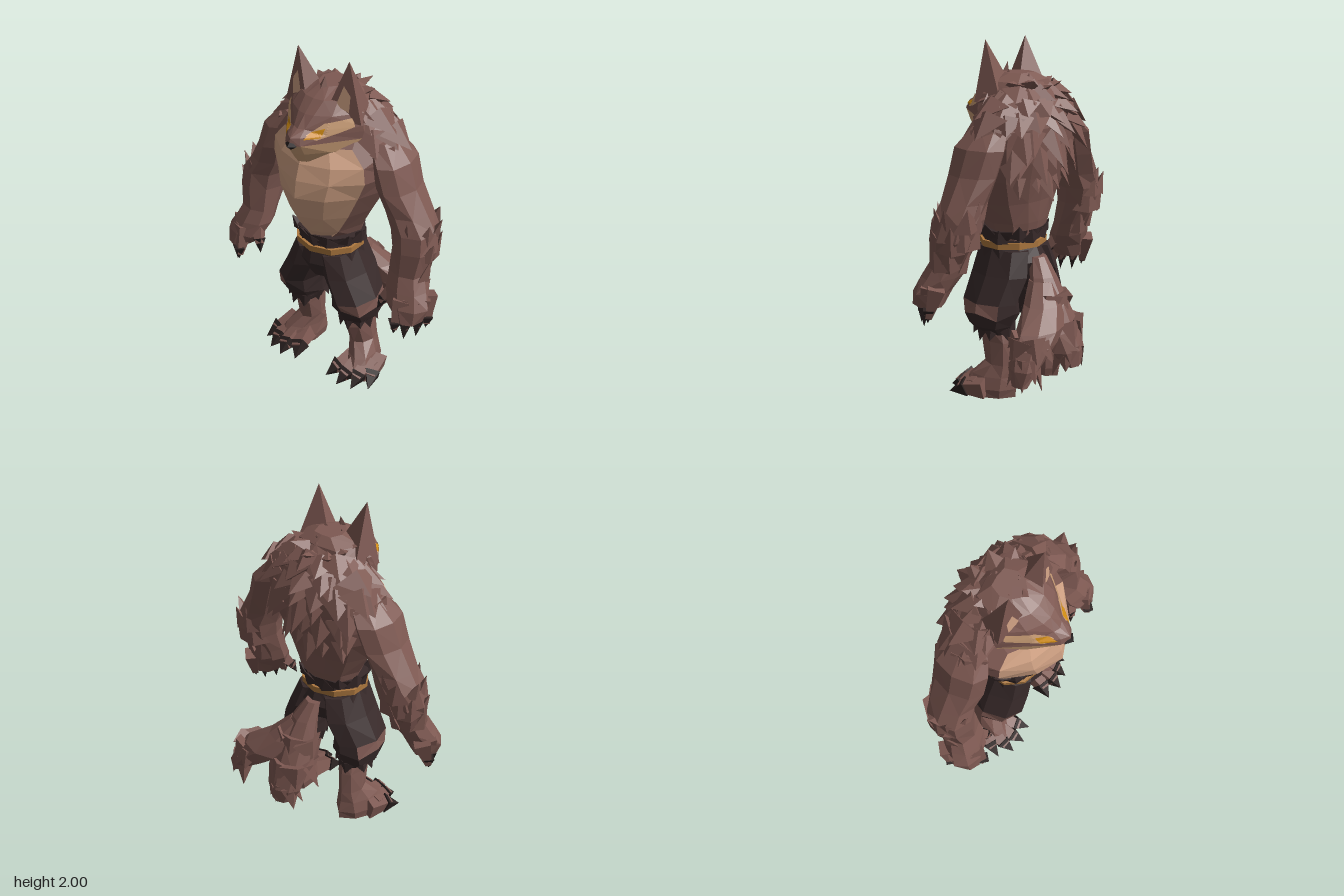
import * as THREE from 'three';
import { mergeGeometries } from 'three/addons/utils/BufferGeometryUtils.js';

const V = (x, y, z) => new THREE.Vector3(x, y, z);
let seed = 7;
const rnd = () => (seed = (seed * 16807) % 2147483647) / 2147483647;
const jit = (s) => (rnd() - 0.5) * 2 * s;

function fromTris(pos) {
  const g = new THREE.BufferGeometry();
  g.setAttribute('position', new THREE.Float32BufferAttribute(pos, 3));
  return g;
}

// Skin stacked rings (lowest first); keep(column, row) chooses the faces
function loft(rings, keep = () => true) {
  const pos = [], n = rings[0].length, last = rings.length - 1;
  const tri = (...ps) => ps.forEach((p) => pos.push(p.x, p.y, p.z));
  const mid = (r) => r.reduce((s, p) => s.add(p), V(0, 0, 0)).divideScalar(n);
  for (let i = 0; i < n; i++) {
    const k = (i + 1) % n;
    for (let j = 0; j < last; j++) {
      if (!keep(i, j)) continue;
      const [a, b, c, d] = [rings[j][i], rings[j][k], rings[j + 1][k], rings[j + 1][i]];
      if ((i + j) % 2) { tri(a, b, c); tri(a, c, d); } else { tri(a, b, d); tri(b, c, d); }
    }
    if (keep(i, -1)) tri(mid(rings[0]), rings[0][k], rings[0][i]);
    if (keep(i, last)) tri(mid(rings[last]), rings[last][i], rings[last][k]);
  }
  return fromTris(pos);
}

// Rings from [y, cx, cz, rx, rz, shear]
const ovals = (list, n = 8, rough = 0.06) => list.map(([y, cx, cz, rx, rz, shear = 0]) =>
  Array.from({ length: n }, (_, i) => {
    const a = (i / n) * Math.PI * 2, s = 1 + jit(rough), z = Math.cos(a) * rz * s;
    return V(cx + Math.sin(a) * rx * s + shear * z, y, cz + z);
  }));

// Mirrored ring from half an outline of [x, z], front to back
const mirrorRing = (y, half) => [...half, ...half.slice(1, -1).reverse().map(([x, z]) => [-x, z])]
  .map(([x, z]) => V(x, y, z));

// Tapered spike from p to q, flattened along "out"
function spike(p, q, r, tip = 0, flat = 1, out = V(0.3, 1, 0.2), n = 4, turn = Math.PI / 4) {
  const y = q.clone().sub(p), len = y.length();
  y.normalize();
  const x = y.clone().cross(out).normalize(), z = x.clone().cross(y);
  return new THREE.CylinderGeometry(tip, r, len, n).rotateY(turn).translate(0, len / 2, 0)
    .scale(1, 1, flat).applyMatrix4(new THREE.Matrix4().makeBasis(x, y, z).setPosition(p));
}

// Fur tufts around an oval between two angles (degrees, 0 = front), rooted under the skin
function tufts([y, cx, cz, rx, rz], from, to, count, out, rise, w) {
  return Array.from({ length: count }, (_, i) => {
    const a = THREE.MathUtils.degToRad(from + ((to - from) * i) / (count - 1) + jit(7));
    const dir = V(Math.sin(a), 0, Math.cos(a)), s = 1 + jit(0.3);
    const skin = V(cx + dir.x * rx, y + jit(0.02), cz + dir.z * rz);
    const p = skin.clone().addScaledVector(dir, -w * 0.35).add(V(0, -rise * 0.35, 0));
    const q = skin.addScaledVector(dir, out * s).add(V(jit(0.02), rise * s, 0));
    return spike(p, q, w * (1 + jit(0.2)), 0, 0.5, dir, 4, 0);
  });
}

export function createModel() {
  const root = new THREE.Group();
  root.name = 'wolfMan';
  const mat = (name, color) => Object.assign(new THREE.MeshStandardMaterial({ color }), { name });
  const fur = mat('brown fur', 0x7e5952), tan = mat('tan fur', 0xd2a385), sand = mat('sandy face fur', 0xcda078);
  const cloth = mat('dark cloth', 0x382a2a), leather = mat('belt leather', 0xb07a40);
  const claw = mat('dark claw', 0x2d2322), amber = mat('amber eye', 0xd08c14), black = mat('nose black', 0x211a1b);

  function part(name, geos, material) {
    const flat = [].concat(geos).map((g) => {
      const f = g.index ? g.toNonIndexed() : g.clone();
      f.deleteAttribute('uv');
      f.deleteAttribute('normal');
      return f;
    });
    const g = mergeGeometries(flat);
    g.computeVertexNormals();
    const m = new THREE.Mesh(g, material);
    m.name = name;
    root.add(m);
    return m;
  }
  function pair(name, geos, material) {
    const left = part(name + 'Left', geos, material);
    const p = left.geometry.attributes.position, pos = [];
    for (let i = 0; i < p.count; i += 3)
      for (const k of [i, i + 2, i + 1]) pos.push(-p.getX(k), p.getY(k), p.getZ(k));
    part(name + 'Right', fromTris(pos), material);
    return left;
  }
  // Thin painted shape draped on the front of some meshes
  function drape(meshes, pts, lift) {
    const pos = [], ray = new THREE.Raycaster();
    const put = ([x, y]) => {
      ray.set(V(x, y, 2), V(0, 0, -1));
      const hit = ray.intersectObjects(meshes, false)[0];
      pos.push(x, y, (hit ? hit.point.z : 0.15) + lift);
    };
    const half = (a, b) => [(a[0] + b[0]) / 2, (a[1] + b[1]) / 2];
    const split = (a, b, c, d) => {
      if (!d) return [a, b, c].forEach(put);
      const ab = half(a, b), bc = half(b, c), ca = half(c, a);
      [[a, ab, ca], [ab, b, bc], [ca, bc, c], [ab, bc, ca]].forEach((t) => split(...t, d - 1));
    };
    const mid = pts.reduce((s, p) => [s[0] + p[0] / pts.length, s[1] + p[1] / pts.length], [0, 0]);
    pts.forEach((p, i) => split(mid, p, pts[(i + 1) % pts.length], 3));
    return fromTris(pos);
  }

  // Torso with a keeled chest: [y, half width, front z, side z, back z, chest share of width]
  const torso = [[0.9, 0.17, 0.22, 0.14, -0.08, 0.35], [1.0, 0.2, 0.285, 0.18, -0.1, 0.72], [1.12, 0.26, 0.345, 0.19, -0.115, 0.8],
    [1.26, 0.33, 0.39, 0.19, -0.15, 0.82], [1.36, 0.36, 0.375, 0.19, -0.18, 0.86], [1.45, 0.375, 0.345, 0.18, -0.19, 0.8],
    [1.54, 0.375, 0.3, 0.15, -0.2, 0.6], [1.64, 0.3, 0.22, 0.08, -0.18, 0.7], [1.73, 0.18, 0.14, 0.05, -0.13, 0.7],
    [1.79, 0.08, 0.1, 0.04, -0.07, 0.7]]
    .map(([y, w, f, s, b, c]) => mirrorRing(y, [[0, f], [w * c * 0.55, f - (f - s) * 0.32], [w * c, s + (0.84 - c) * 0.15],
      [w, s + (b - s) * 0.45], [w * 0.78, s + (b - s) * 0.82], [w * 0.35, b + 0.01], [0, b]]));
  const isChest = (i, j) => (i < 2 || i > 9) && j >= 0 && j < 6;
  part('torso', loft(torso, (i, j) => !isChest(i, j)), fur);
  part('chest', loft(torso, isChest), tan);

  // Mane in overlapping rows over neck, shoulders and back
  part('mane', [
    tufts([1.75, 0, 0, 0.13, 0.11], 70, 290, 7, 0.07, 0.03, 0.08),
    tufts([1.71, 0, 0, 0.21, 0.14], 60, 300, 11, 0.08, -0.03, 0.09),
    tufts([1.64, 0, -0.02, 0.28, 0.17], 55, 305, 13, 0.075, -0.04, 0.1),
    tufts([1.57, 0, -0.02, 0.35, 0.18], 55, 305, 13, 0.07, -0.06, 0.1),
    tufts([1.49, 0, -0.01, 0.38, 0.19], 80, 280, 11, 0.06, -0.11, 0.1),
    tufts([1.39, 0, 0, 0.33, 0.18], 125, 235, 7, 0.05, -0.13, 0.1),
    tufts([1.27, 0, 0, 0.28, 0.14], 140, 220, 5, 0.04, -0.11, 0.08),
  ].flat(), fur);

  // Head: [y, muzzle front, muzzle edge x z, cheek x z, side x z, back z]
  const head = [[1.47, 0.35, 0.04, 0.33, 0.1, 0.24, 0.15, 0.14, 0], [1.53, 0.385, 0.05, 0.36, 0.14, 0.26, 0.23, 0.14, -0.05],
    [1.59, 0.42, 0.05, 0.39, 0.14, 0.27, 0.245, 0.13, -0.08], [1.63, 0.41, 0.04, 0.38, 0.13, 0.27, 0.25, 0.12, -0.1],
    [1.66, 0.35, 0.035, 0.335, 0.125, 0.265, 0.245, 0.12, -0.1], [1.72, 0.29, 0.05, 0.28, 0.13, 0.23, 0.23, 0.1, -0.1],
    [1.78, 0.22, 0.06, 0.21, 0.12, 0.17, 0.18, 0.07, -0.08], [1.82, 0.14, 0.03, 0.13, 0.06, 0.1, 0.08, 0.04, -0.03]]
    .map(([y, f, ax, az, bx, bz, cx, cz, b]) =>
      mirrorRing(y, [[0, f], [ax, az], [bx, bz], [cx, cz], [cx * 0.7, b * 0.8], [0, b]]));
  const isJaw = (i, j) => j < 2 && (i < 3 || i > 6);
  const skull = part('head', loft(head, (i, j) => !isJaw(i, j)), fur);
  const jaw = part('jaw', loft(head, isJaw), sand);
  part('nose', new THREE.OctahedronGeometry(1).scale(0.038, 0.028, 0.03).translate(0, 1.59, 0.405), black);
  const face = [skull, jaw];
  pair('browPatch', drape(face, [[0.055, 1.64], [0.1, 1.612], [0.17, 1.637], [0.22, 1.66], [0.205, 1.705], [0.11, 1.69]], 0.006), sand);
  pair('eye', drape(face, [[0.056, 1.622], [0.112, 1.622], [0.12, 1.667], [0.066, 1.65]], 0.0095), amber);
  pair('cheekFur', [[1.69, 0.28, 1.66], [1.63, 0.3, 1.59], [1.57, 0.28, 1.53]].map(([y, x, ty]) =>
    spike(V(0.18, y, 0.08), V(x, ty, 0.06), 0.06, 0, 0.6, V(0, 0, 1), 4, 0)), fur);
  part('crownFur', [[0, 1.87, 0.12], [0.06, 1.84, 0.06], [-0.05, 1.83, 0.07], [0.02, 1.82, -0.05]].map(([x, y, z]) =>
    spike(V(x * 0.6, 1.73, z + 0.04), V(x, y, z), 0.065, 0, 0.7, V(0, 0, 1), 4, 0)), fur);

  // Ears
  const ear = pair('ear', spike(V(0.13, 1.69, 0.1), V(0.165, 2, 0.135), 0.145, 0, 0.75, V(0.3, 0, 1)), fur);
  pair('innerEar', drape([ear], [[0.115, 1.76], [0.185, 1.73], [0.187, 1.82], [0.15, 1.87]], 0.006), tan);

  // Arms, elbow fur, hands and claws
  pair('arm', loft(ovals([[0.62, 0.61, 0.16, 0.075, 0.09], [0.7, 0.585, 0.15, 0.125, 0.1], [0.78, 0.55, 0.11, 0.125, 0.1],
    [0.86, 0.53, 0.08, 0.11, 0.09], [1.0, 0.535, 0.03, 0.13, 0.13], [1.1, 0.525, 0.01, 0.13, 0.135],
    [1.19, 0.475, 0.01, 0.125, 0.135], [1.32, 0.415, 0.01, 0.105, 0.16], [1.46, 0.365, 0, 0.1, 0.16], [1.56, 0.28, -0.01, 0.09, 0.11]])), fur);
  pair('forearmFur', [
    tufts([1.1, 0.525, 0.01, 0.125, 0.13], 20, 200, 5, 0.005, 0.1, 0.075),
    tufts([0.98, 0.535, 0.03, 0.125, 0.125], 80, 200, 4, 0.015, 0.1, 0.075),
    tufts([0.86, 0.54, 0.07, 0.105, 0.09], 90, 200, 3, 0.025, 0.1, 0.06),
  ].flat(), fur);
  const fingers = [[0.57, 0.23, 0.565, 0.25], [0.61, 0.2, 0.61, 0.215], [0.645, 0.15, 0.65, 0.155], [0.65, 0.1, 0.675, 0.1]];
  pair('fingers', [...fingers.map(([x, z, tx, tz]) => spike(V(x, 0.74, z - 0.04), V(tx, 0.57, tz), 0.065, 0.024)),
    spike(V(0.51, 0.77, 0.14), V(0.44, 0.67, 0.2), 0.055, 0.026)], fur);
  pair('fingerClaws', [...fingers.map(([x, z, tx, tz], k) => spike(V(tx, 0.62, tz - 0.003), V(tx, k % 3 ? 0.5 : 0.54, tz + 0.005), 0.042)),
    spike(V(0.455, 0.695, 0.187), V(0.425, 0.62, 0.215), 0.037)], claw);

  // Trousers with torn waist, cuffs and patches
  part('trouserHips', loft(ovals([[0.66, 0, 0.075, 0.12, 0.15], [0.77, 0, 0.075, 0.205, 0.2], [0.86, 0, 0.085, 0.19, 0.172],
    [0.9, 0, 0.085, 0.19, 0.17], [0.955, 0, 0.08, 0.215, 0.18]], 10, 0.02)), cloth);
  part('tornWaist', tufts([0.925, 0, 0.08, 0.215, 0.18], 0, 335, 13, 0.01, 0.045, 0.06), cloth);
  part('belt', loft(ovals([[0.85, 0, 0.085, 0.203, 0.184], [0.888, 0, 0.085, 0.205, 0.186]], 10, 0.01)), leather);
  const leg = ovals([[0.37, 0.18, 0.06, 0.09, 0.11], [0.42, 0.2, 0.07, 0.125, 0.14], [0.49, 0.2, 0.075, 0.135, 0.175],
    [0.555, 0.193, 0.08, 0.125, 0.185], [0.7, 0.125, 0.075, 0.12, 0.195], [0.84, 0.085, 0.08, 0.105, 0.175]], 8, 0.04);
  leg[2].forEach((p, i) => { p.y += i % 2 ? -0.02 : 0.015; });
  const isPatch = (i, j) => j === 2 && i < 3;
  pair('trouserLeg', loft(leg, (i, j) => !isPatch(i, j)), cloth);
  pair('tornPatch', loft(leg, isPatch), fur);
  pair('tornCuff', tufts([0.4, 0.185, 0.065, 0.105, 0.125], 0, 325, 9, 0, -0.055, 0.055), cloth);

  // Lower legs, splayed feet, toes and claws
  pair('lowerLeg', loft(ovals([[0, 0.235, 0.07, 0.1, 0.165, 0.25], [0.05, 0.235, 0.07, 0.1, 0.165, 0.25],
    [0.12, 0.22, 0.045, 0.085, 0.13, 0.2], [0.19, 0.195, 0.02, 0.068, 0.095], [0.32, 0.185, 0.04, 0.068, 0.11], [0.4, 0.18, 0.05, 0.07, 0.1]])), fur);
  const toes = [[0.19, 0.145, 0.235], [0.24, 0.225, 0.26], [0.29, 0.3, 0.24], [0.31, 0.36, 0.18]];
  pair('toes', toes.map(([x, tx, tz]) => spike(V(x, 0.065, tz - 0.15), V(tx, 0.045, tz), 0.07, 0.038)), fur);
  pair('toeClaws', toes.map(([x, tx, tz]) => spike(V(tx - (tx - x) * 0.2, 0.052, tz - 0.04), V(tx + (tx - x) * 0.6, 0.01, tz + 0.055), 0.06)), claw);

  // Bushy tail: a hanging lobe and one swept to the left
  part('tail', [
    loft(ovals([[0.22, 0.02, -0.36, 0.06, 0.05], [0.31, 0.02, -0.33, 0.115, 0.085], [0.42, 0.03, -0.28, 0.135, 0.105],
      [0.56, 0.03, -0.21, 0.12, 0.1], [0.7, 0.02, -0.15, 0.08, 0.07], [0.8, 0, -0.1, 0.05, 0.045]])),
    loft(ovals([[0.21, 0.42, -0.32, 0.03, 0.05], [0.3, 0.36, -0.31, 0.09, 0.09], [0.4, 0.28, -0.295, 0.145, 0.11],
      [0.47, 0.2, -0.275, 0.15, 0.115], [0.57, 0.1, -0.22, 0.12, 0.1], [0.68, 0.04, -0.16, 0.07, 0.07]])),
    ...tufts([0.28, 0.02, -0.34, 0.09, 0.06], 0, 310, 6, 0.02, -0.1, 0.07),
    ...tufts([0.42, 0.02, -0.28, 0.13, 0.1], 180, 300, 3, 0.035, -0.13, 0.09),
    ...tufts([0.57, 0.03, -0.21, 0.11, 0.09], 130, 260, 3, 0.035, -0.13, 0.09),
    ...tufts([0.32, 0.36, -0.31, 0.07, 0.08], 0, 220, 5, 0.02, -0.11, 0.07),
    ...tufts([0.42, 0.29, -0.295, 0.12, 0.1], 30, 190, 4, 0.03, -0.08, 0.08),
  ], fur);

  return root;
}
